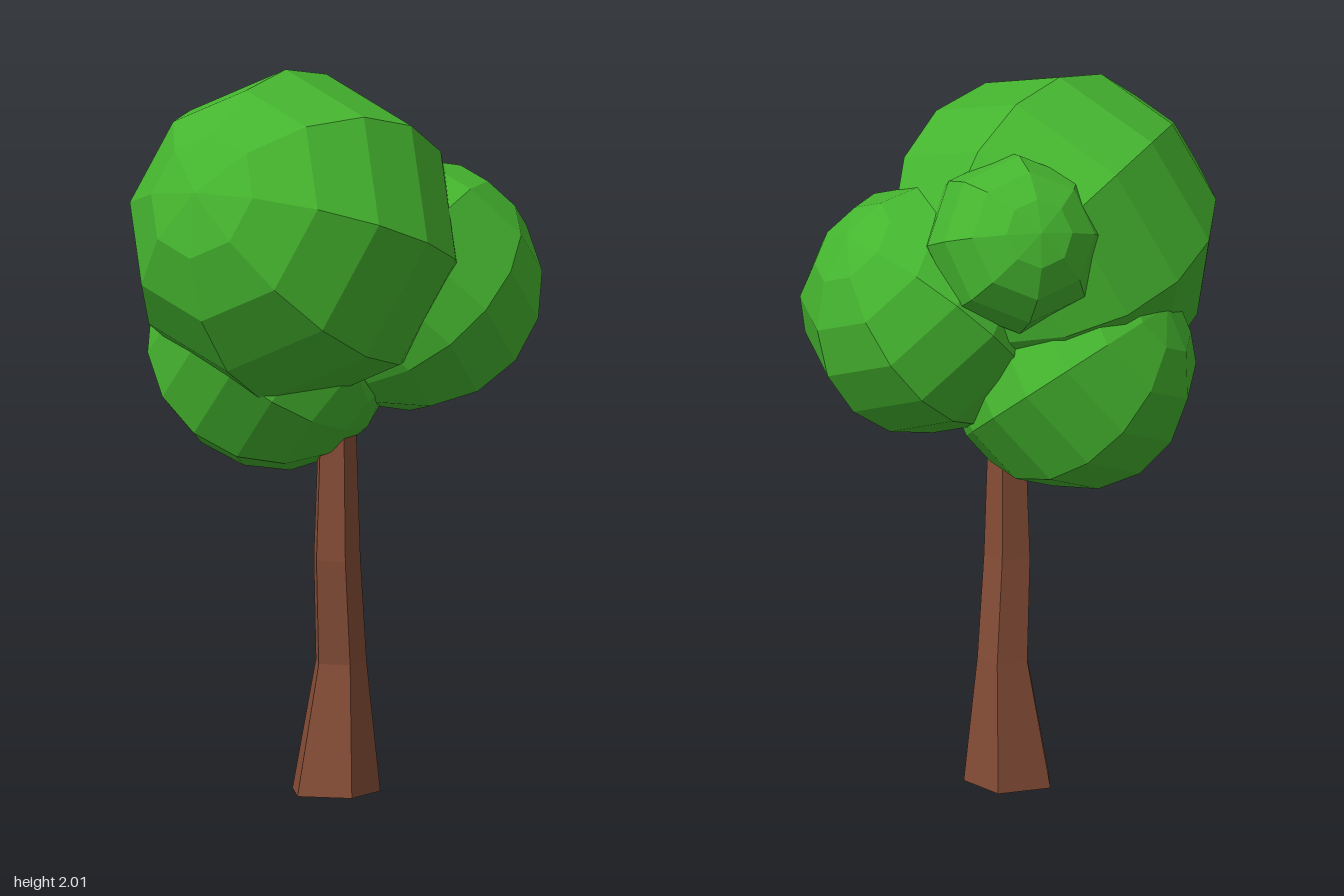
import * as THREE from 'three';

const leafMat = new THREE.MeshStandardMaterial({ color: 0x45b52f, flatShading: true });
const barkMat = new THREE.MeshStandardMaterial({ color: 0x854d36, flatShading: true });

// Faceted ball whose pole points along `pole`, with one meridian turned toward `seam`
function leafClump(name, centre, radius, pole, seam) {
  const y = new THREE.Vector3(...pole).normalize();
  const x = new THREE.Vector3(...seam).projectOnPlane(y).normalize();
  const z = new THREE.Vector3().crossVectors(x, y);
  const mesh = new THREE.Mesh(new THREE.SphereGeometry(radius, 8, 8), leafMat);
  mesh.quaternion.setFromRotationMatrix(new THREE.Matrix4().makeBasis(x, y, z));
  mesh.position.set(...centre);
  mesh.name = name;
  return mesh;
}

// Five-sided trunk: each ring is [y, centre x, centre z, radius]
function trunk() {
  const rings = [
    [0, 0.01, -0.02, 0.13],
    [0.36, 0.02, -0.04, 0.075],
    [0.65, 0.02, -0.012, 0.069],
    [1.06, 0.022, -0.012, 0.054],
  ];
  const geo = new THREE.CylinderGeometry(1, 1, 3, 5, 3, false, THREE.MathUtils.degToRad(46));
  const pos = geo.attributes.position;
  for (let i = 0; i < pos.count; i++) {
    const [y, cx, cz, r] = rings[Math.round(pos.getY(i) + 1.5)];
    pos.setXYZ(i, cx + pos.getX(i) * r, y, cz + pos.getZ(i) * r);
  }
  geo.computeVertexNormals();
  const mesh = new THREE.Mesh(geo, barkMat);
  mesh.name = 'trunk';
  return mesh;
}

export function createModel() {
  const tree = new THREE.Group();
  tree.name = 'tree';
  tree.add(
    trunk(),
    leafClump('mainCrown', [-0.06, 1.55, 0.085], 0.465, [-0.27, 0.38, 0.88], [0.03, 0.9, -0.34]),
    leafClump('lowerCrown', [-0.18, 1.22, -0.03], 0.345, [-0.8, 0.6, 0.1], [0, 0, 1]),
    leafClump('sideCrown', [0.175, 1.39, -0.205], 0.352, [0.43, 0.7, -0.57], [0.8, -0.6, 0]),
    leafClump('backCrown', [-0.11, 1.635, -0.25], 0.25, [-0.65, 0.4, -0.65], [0.2, 0.9, 0.3]),
  );
  return tree;
}
